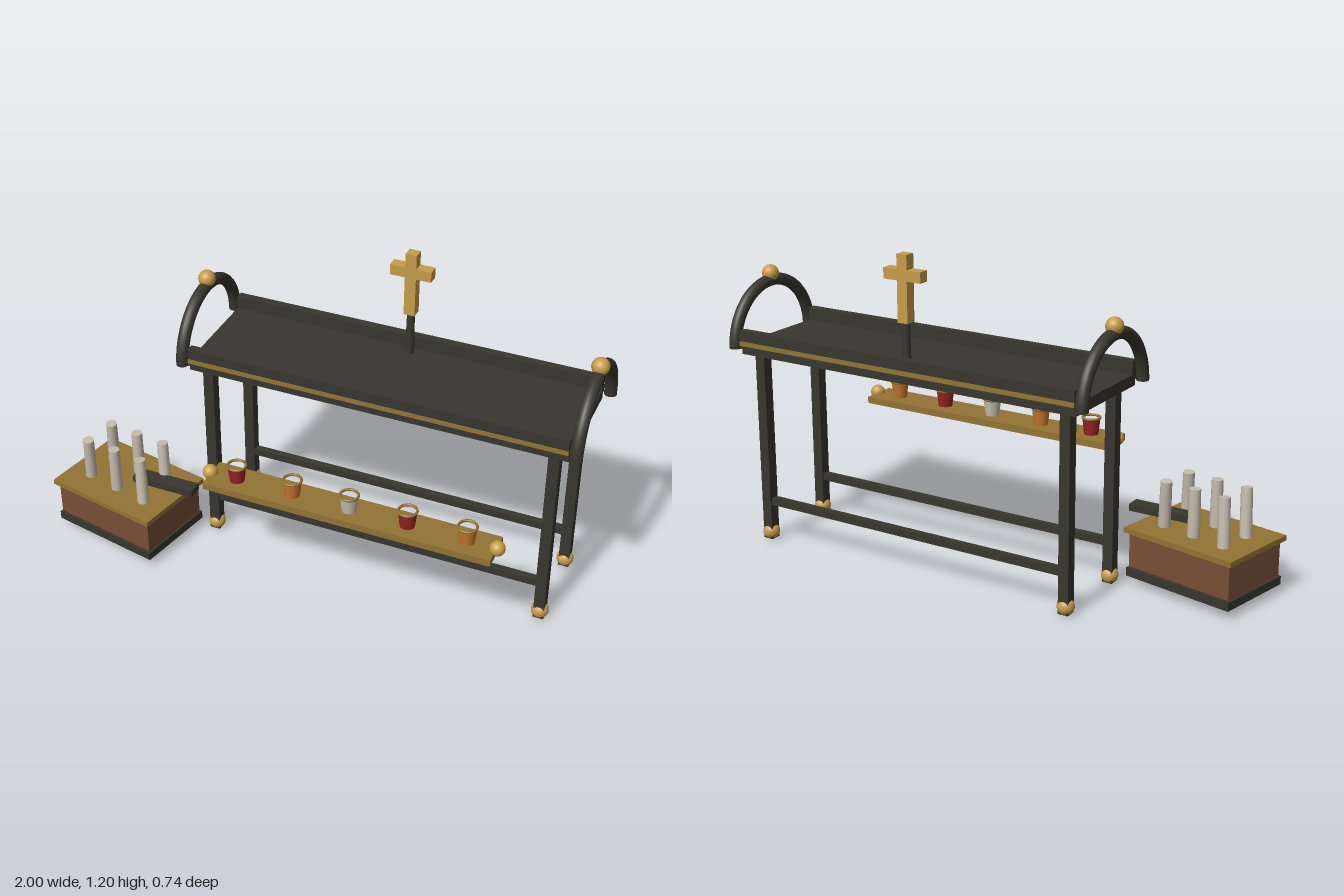
import * as THREE from 'three';

const mat = (name, color, extra = {}) => {
  const m = new THREE.MeshStandardMaterial({ color, ...extra });
  m.name = name;
  return m;
};

export function createModel() {
  const iron = mat('dark iron', 0x37362e);
  const gold = mat('bright gold', 0xc69d4a);
  const brass = mat('aged brass', 0x927434);
  const wood = mat('brown wood', 0x774e36);
  const wax = mat('candle wax', 0xc4bcae);
  const red = mat('red glass', 0x962420);
  const amber = mat('amber glass', 0xc4762c);

  const model = new THREE.Group();
  model.name = 'candleStand';

  const add = (parent, name, geometry, material, x, y, z) => {
    const mesh = new THREE.Mesh(geometry, material);
    mesh.name = name;
    mesh.position.set(x, y, z);
    parent.add(mesh);
    return mesh;
  };
  const box = (parent, name, material, w, h, d, x, y, z) =>
    add(parent, name, new THREE.BoxGeometry(w, h, d), material, x, y, z);
  const ball = (name, r, x, y, z) =>
    add(model, name, new THREE.SphereGeometry(r, 24, 16), gold, x, y, z);

  const CX = 0.225, CZ = -0.132; // centre of the stand

  // Deck with raised rails and brass strips on the long sides
  box(model, 'deck', iron, 1.425, 0.042, 0.42, CX, 0.766, CZ);
  for (const s of [-1, 1]) {
    box(model, 'deckRail', iron, 1.425, 0.07, 0.032, CX, 0.802, CZ + s * 0.205);
    box(model, 'railStrip', brass, 1.425, 0.017, 0.006, CX, 0.788, CZ + s * 0.221);
  }

  // Legs, ball feet and long stretchers
  for (const sz of [-1, 1]) {
    const z = CZ + sz * 0.16;
    for (const sx of [-1, 1]) {
      const x = CX + sx * 0.655;
      box(model, 'leg', iron, 0.04, 0.74, 0.042, x, 0.376, z);
      ball('foot', 0.032, x, 0.032, z);
    }
    box(model, 'stretcher', iron, 1.3, 0.028, 0.028, CX, 0.16, z);
  }

  // End arches with a ball on top
  for (const s of [-1, 1]) {
    const x = CX + s * 0.738;
    const arch = add(model, 'endArch', new THREE.TorusGeometry(0.217, 0.023, 16, 40, Math.PI), iron, x, 0.766, CZ);
    arch.rotation.y = Math.PI / 2;
    for (const e of [-1, 1]) {
      const cap = add(model, 'archCap', new THREE.CircleGeometry(0.023, 16), iron, x, 0.766, CZ + e * 0.217);
      cap.rotation.x = Math.PI / 2;
    }
    ball('archBall', 0.032, x, 1.01, CZ);
  }

  // Cross on its post at the back of the deck
  add(model, 'crossPost', new THREE.CylinderGeometry(0.014, 0.017, 0.175, 16), iron, CX, 0.873, -0.29);
  box(model, 'crossUpright', gold, 0.042, 0.245, 0.042, CX, 1.0775, -0.29);
  box(model, 'crossBar', gold, 0.156, 0.04, 0.0415, CX, 1.126, -0.29);

  // Front tray with end balls
  box(model, 'tray', brass, 1.085, 0.026, 0.14, CX, 0.447, 0.27);
  for (const s of [-1, 1]) ball('trayBall', 0.028, CX + s * 0.545, 0.463, 0.27);

  // Votive cups: open tapered bodies with a brass rim
  const cupBody = new THREE.CylinderGeometry(0.034, 0.027, 0.064, 24, 1, true);
  const cupRim = new THREE.TorusGeometry(0.033, 0.005, 8, 24).rotateX(Math.PI / 2);
  [red, amber, wax, red, amber].forEach((glass, i) => {
    const x = CX + (i - 2) * 0.218;
    add(model, 'votiveCup', cupBody, glass, x, 0.492, 0.272);
    add(model, 'votiveRim', cupRim, brass, x, 0.524, 0.272);
  });

  // Candle box, turned slightly beside the stand
  const chest = new THREE.Group();
  chest.name = 'candleBox';
  chest.position.set(-0.74, 0, 0.155);
  chest.rotation.y = -0.2;
  model.add(chest);
  box(chest, 'boxBase', iron, 0.45, 0.032, 0.318, 0, 0.051, 0);
  box(chest, 'boxBody', wood, 0.437, 0.134, 0.303, 0, 0.138, 0);
  box(chest, 'boxLid', brass, 0.466, 0.02, 0.336, 0, 0.213, 0);

  // Leaning candles in two rows of three
  const candle = new THREE.CylinderGeometry(0.021, 0.023, 0.185, 12);
  for (const row of [-1, 1]) {
    for (const col of [-1, 0, 1]) {
      const c = add(chest, 'candle', candle, wax, col * 0.128, 0.31, row * 0.066);
      c.rotation.set(-0.08 * col, 0, 0.08 * col);
    }
  }

  // Flat arm reaching from the stand over the box
  box(model, 'sideArm', iron, 0.25, 0.026, 0.058, -0.573, 0.261, 0.161);

  return model;
}
